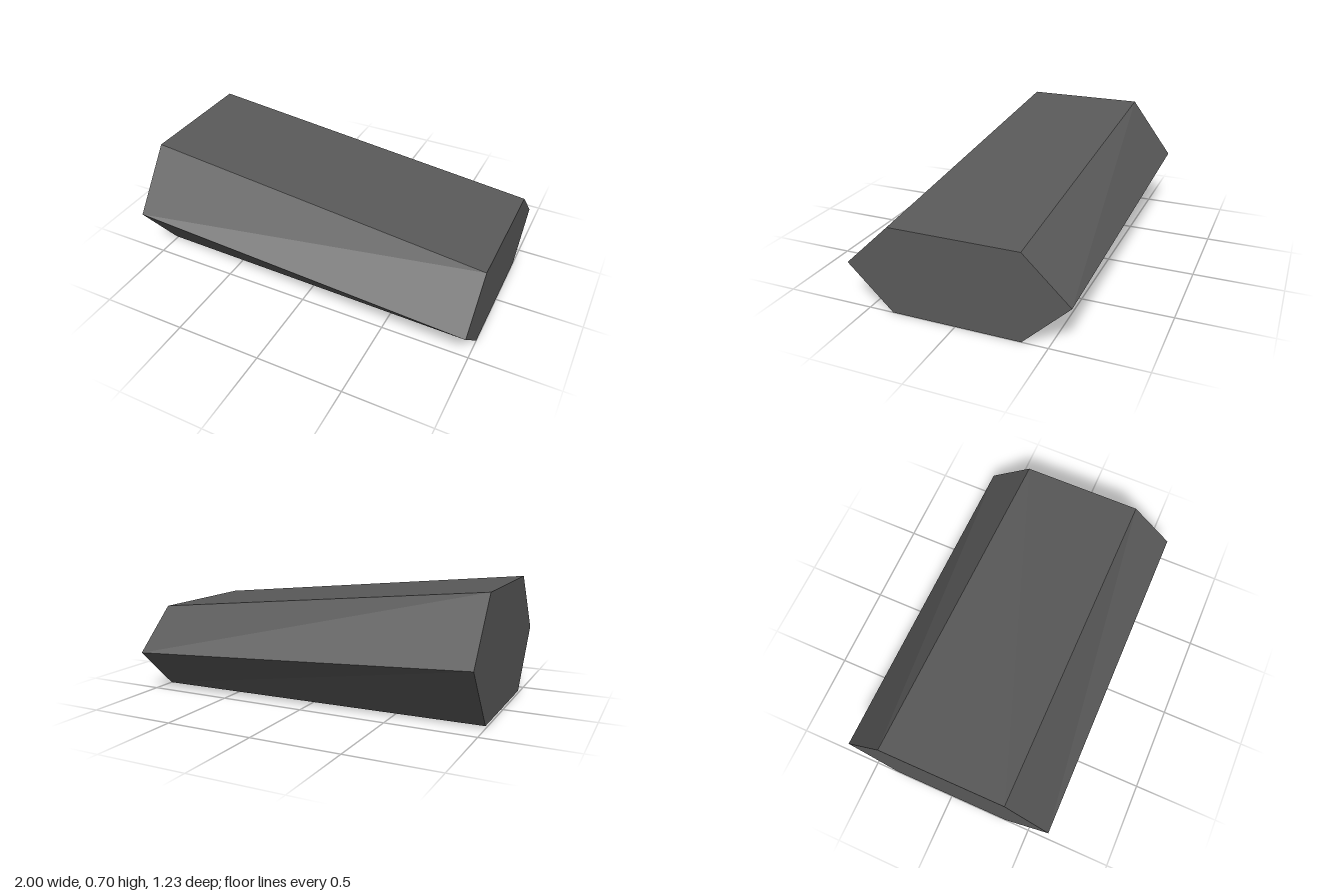
import * as THREE from 'three';

export function createModel() {
  const model = new THREE.Group();
  const charcoal = new THREE.MeshStandardMaterial({ color: 0x5a5a5a });
  charcoal.name = 'charcoal';

  // Hexagonal cross-section of the low end
  const section = new THREE.Shape([
    [-0.36, 0], [0.36, 0], [0.615, 0.243], [0.36, 0.485], [-0.36, 0.485], [-0.615, 0.243],
  ].map(([x, y]) => new THREE.Vector2(x, y)));

  // Run the section along x
  const geometry = new THREE.ExtrudeGeometry(section, { depth: 2, bevelEnabled: false });
  geometry.translate(0, 0, -1).rotateY(Math.PI / 2);

  // Make the -x end taller and lift it slightly off the ground
  const pos = geometry.attributes.position;
  for (let i = 0; i < pos.count; i++) {
    if (pos.getX(i) < 0) pos.setY(i, 0.015 + pos.getY(i) * 1.412);
  }
  geometry.computeVertexNormals();

  const body = new THREE.Mesh(geometry, charcoal);
  body.name = 'taperedHexagonalBlock';
  model.add(body);
  return model;
}
